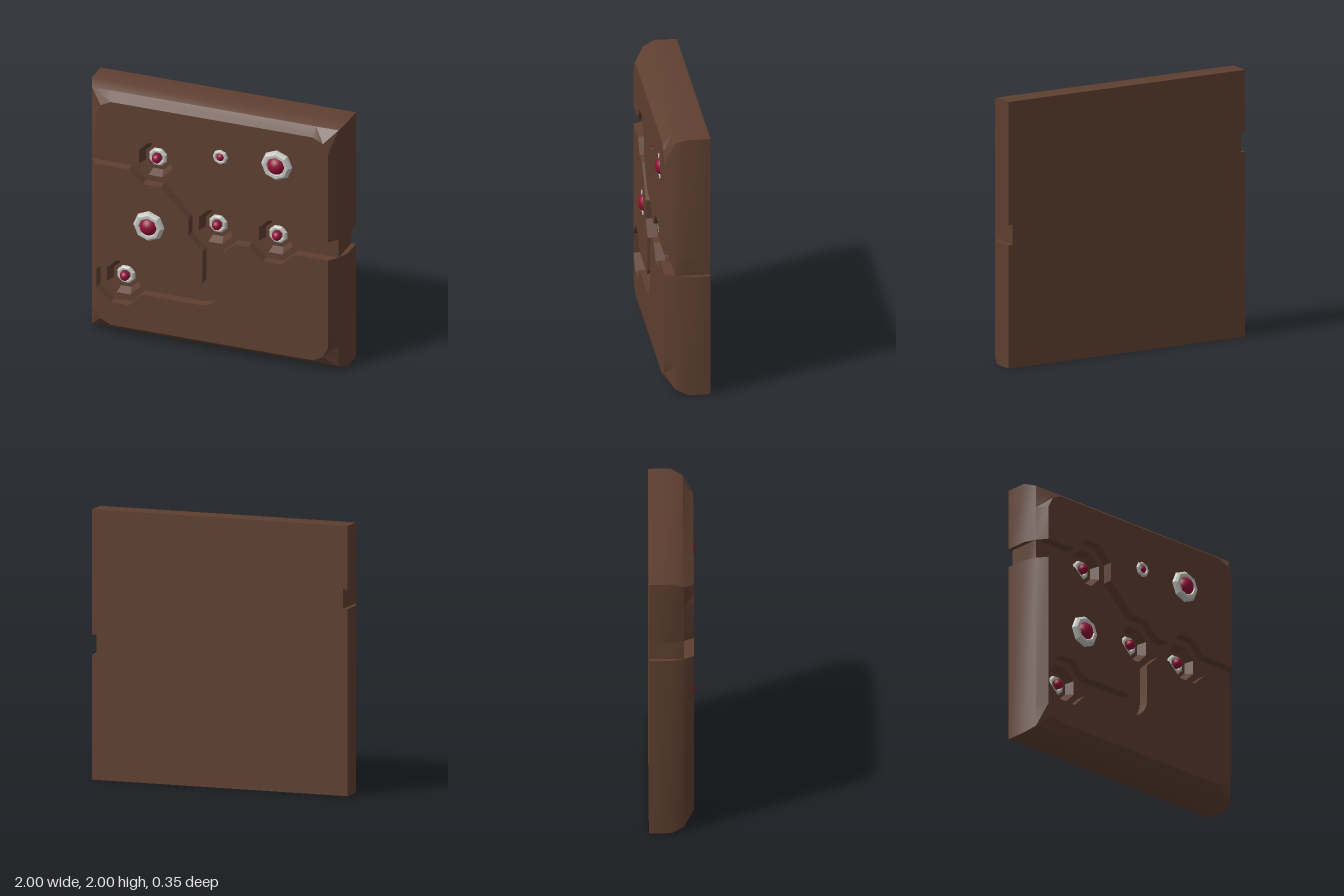
import * as THREE from 'three';
import { mergeGeometries, toCreasedNormals } from 'three/addons/utils/BufferGeometryUtils.js';

const BACK = -0.165, MID = 0, FLOOR = 0.09, FRONT = 0.165, INSET = 0.965;

const stone = new THREE.MeshStandardMaterial({ color: 0x5e3f30 });
stone.name = 'brown stone';
const silver = new THREE.MeshStandardMaterial({ color: 0xc2c2be });
silver.name = 'silver';
const red = new THREE.MeshStandardMaterial({ color: 0x8f0f35 });
red.name = 'dark red';

// gems in the channel cups: [x, y]
const nodes = [[-0.47, 1.46], [0, 1], [0.47, 1], [-0.72, 0.455]];
// gems in shallow dishes on the plate: [x, y, dish radius, setting radius, gem radius]
const dishes = [[0.49, 1.605, 0.2, 0.122, 0.07], [0.055, 1.6, 0.13, 0.06, 0.03], [-0.51, 0.925, 0.2, 0.122, 0.07]];
const CUP = 0.13 / Math.cos(Math.PI / 8);

const toShape = (pts) => new THREE.Shape(pts.map(([x, y]) => new THREE.Vector2(x, y)));

function octagonHole(x, y, r, turn) {
  const pts = [];
  for (let i = 0; i < 8; i++) {
    const a = turn + i * Math.PI / 4;
    pts.push(new THREE.Vector2(x + r * Math.cos(a), y + r * Math.sin(a)));
  }
  return new THREE.Path(pts);
}

// extruded layer whose vertices at one height are shifted by a rule
function layer(shapes, z0, z1, zMove, rule) {
  const g = new THREE.ExtrudeGeometry(shapes, { depth: z1 - z0, bevelEnabled: false });
  g.translate(0, 0, z0);
  const p = g.attributes.position;
  for (let i = 0; i < p.count; i++) {
    if (rule && Math.abs(p.getZ(i) - zMove) < 1e-4) {
      const [x, y] = rule(p.getX(i), p.getY(i) - 1);
      p.setXY(i, x, y + 1);
    }
  }
  g.computeVertexNormals();
  return g;
}

// eight-sided lathe facing +z, profile runs from outside to inside
function octLathe(profile, turn) {
  const g = new THREE.LatheGeometry(profile.map(([r, z]) => new THREE.Vector2(r, z)), 8);
  g.rotateX(Math.PI / 2);
  g.rotateZ(turn);
  const flat = g.toNonIndexed();
  flat.computeVertexNormals();
  return flat;
}

function buildSlab() {
  // square outline with a notch on each side
  const outline = () => toShape([
    [-1, 0], [1, 0], [1, 0.925], [INSET, 0.925], [INSET, 1.075], [1, 1.075],
    [1, 2], [-1, 2], [-1, 1.53], [-INSET, 1.53], [-INSET, 1.385], [-1, 1.385],
  ]);
  const base = layer(outline(), BACK, MID);
  const channelShape = outline();
  nodes.forEach(([x, y]) => channelShape.holes.push(octagonHole(x, y, CUP, Math.PI / 8)));
  const clampIn = (v) => THREE.MathUtils.clamp(v, -INSET, INSET);
  const middle = layer(channelShape, MID, FLOOR, FLOOR, (x, y) => [clampIn(x), clampIn(y)]);

  // raised plate above the channel
  const upper = toShape([
    [-0.91, 1.53], [-0.65, 1.53], [-0.54, 1.64], [-0.4, 1.64], [-0.29, 1.535], [-0.29, 1.39],
    [-0.07, 1.18], [0.07, 1.18], [0.18, 1.075], [0.29, 1.075], [0.4, 1.18], [0.54, 1.18],
    [0.65, 1.075], [0.91, 1.075], [0.91, 1.79], [0.87, 1.87], [0.79, 1.91],
    [-0.79, 1.91], [-0.87, 1.87], [-0.91, 1.79],
  ]);
  // rounded bend of the lower channel
  const bend = [];
  for (let i = 0; i <= 6; i++) {
    const a = -i * Math.PI / 12;
    bend.push([-0.09 + 0.16 * Math.cos(a), 0.54 + 0.16 * Math.sin(a)]);
  }
  // raised plate below the channel
  const lower = toShape([
    [0.91, 0.925], [0.65, 0.925], [0.54, 0.825], [0.4, 0.825], [0.29, 0.925], [0.18, 0.925], [0.07, 0.82],
    ...bend,
    [-0.55, 0.38], [-0.65, 0.275], [-0.79, 0.275], [-0.9, 0.38], [-0.9, 0.53], [-0.79, 0.635],
    [-0.65, 0.635], [-0.54, 0.53], [-0.1, 0.53], [-0.07, 0.56], [-0.07, 0.82], [-0.18, 0.93],
    [-0.18, 1.07], [-0.4, 1.285], [-0.54, 1.285], [-0.65, 1.385], [-0.91, 1.385],
    [-0.91, 0.21], [-0.87, 0.13], [-0.79, 0.09], [0.79, 0.09], [0.87, 0.13], [0.91, 0.21],
  ]);
  dishes.forEach(([x, y, r], i) => (i < 2 ? upper : lower).holes.push(octagonHole(x, y, r, 0)));
  const flare = (x, y) => {
    const corner = Math.abs(x) > 0.86 && Math.abs(y) > 0.86;
    const out = (v) => (corner || Math.abs(v) > 0.905 ? Math.sign(v) * INSET : v);
    return [out(x), out(y)];
  };
  const top = layer([upper, lower], FLOOR, FRONT, FLOOR, flare);
  return toCreasedNormals(mergeGeometries([base, middle, top]), 0.4);
}

export function createModel() {
  const model = new THREE.Group();
  const add = (parent, name, geometry, material) => {
    const mesh = new THREE.Mesh(geometry, material);
    mesh.name = name;
    parent.add(mesh);
    return mesh;
  };

  add(model, 'slab', buildSlab(), stone);

  // stepped octagonal setting holding a round gem
  function addGem(parent, s, gemR, z, gemZ, turn) {
    add(parent, 'setting', octLathe([
      [s, z], [s * 0.93, z + s * 0.15], [s * 0.8, z + s * 0.28], [s * 0.62, z + s * 0.28], [s * 0.5, z + s * 0.1],
    ], turn), silver);
    add(parent, 'gem', new THREE.SphereGeometry(gemR, 20, 14), red).position.z = gemZ;
  }

  // deep cups along the channel
  for (const [x, y] of nodes) {
    const g = new THREE.Group();
    g.name = 'channelSocket';
    g.position.set(x, y, 0);
    add(g, 'cup', octLathe([[CUP, FLOOR], [CUP * 0.75, 0.03], [0, 0.03]], Math.PI / 8), stone);
    addGem(g, 0.075, 0.036, 0.03, 0.063, Math.PI / 8);
    model.add(g);
  }

  // shallow dishes on the plate, shaded evenly with it
  for (const [x, y, r, s, gemR] of dishes) {
    const g = new THREE.Group();
    g.name = 'plateSocket';
    g.position.set(x, y, 0);
    const depth = r * 0.3;
    const dish = octLathe([[r, FRONT], [s * 0.9, FRONT - depth], [0, FRONT - depth]], 0);
    const n = dish.attributes.normal;
    for (let i = 0; i < n.count; i++) n.setXYZ(i, 0, 0, 1);
    add(g, 'dish', dish, stone);
    addGem(g, s, gemR, FRONT - depth + s * 0.08, FRONT - depth + gemR * 0.1, 0);
    model.add(g);
  }
  return model;
}
